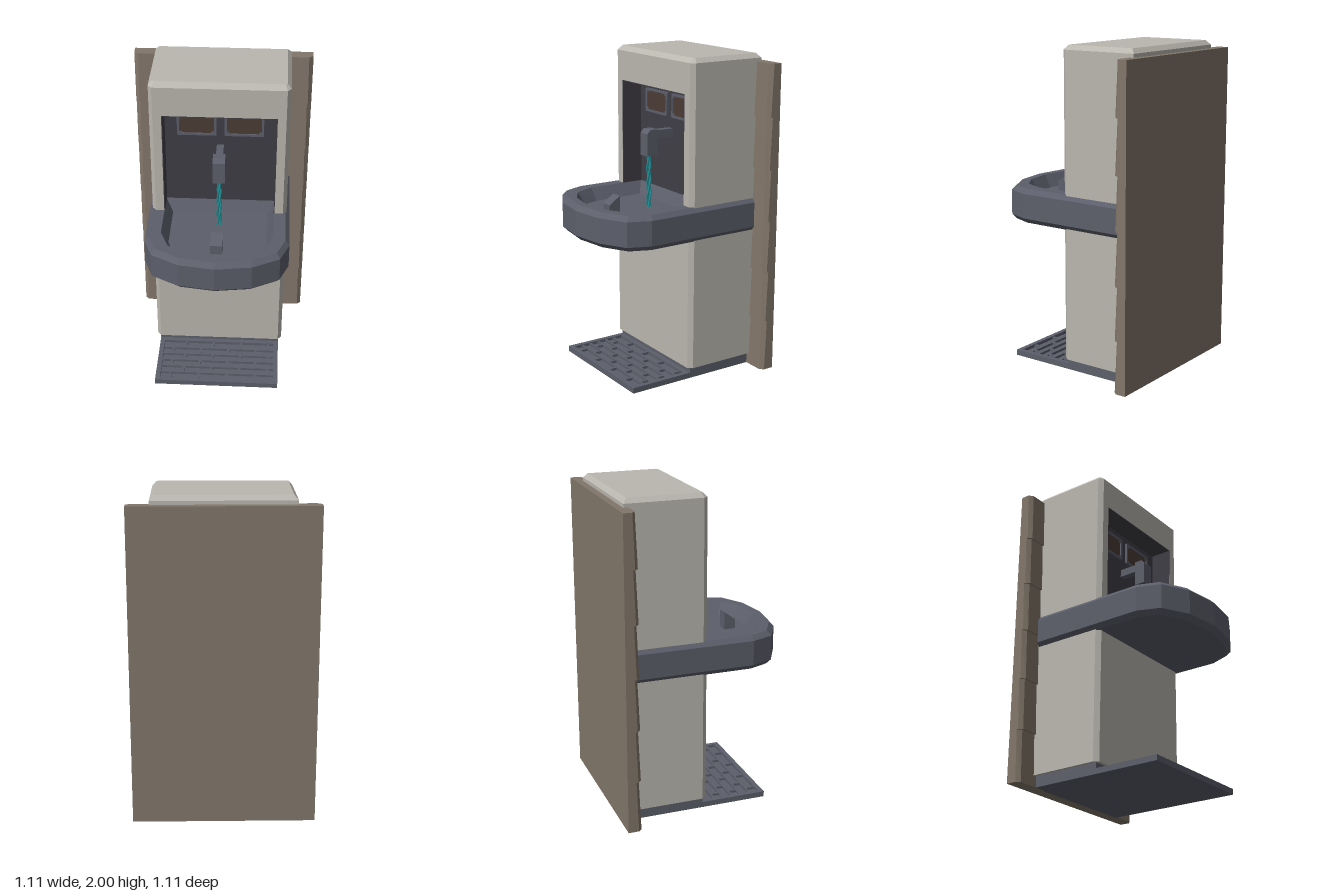
import * as THREE from 'three';

const mat = (name, color) => {
  const m = new THREE.MeshStandardMaterial({ color });
  m.name = name;
  return m;
};

// Flat-shaded skin over matching convex rings of [x, y, z], capped at both ends
function loft(rings) {
  const pos = [];
  const tri = (a, b, c) => pos.push(...a, ...b, ...c);
  const n = rings[0].length;
  for (let r = 0; r < rings.length - 1; r++) {
    const a = rings[r], b = rings[r + 1];
    for (let i = 0; i < n; i++) {
      const j = (i + 1) % n;
      tri(a[i], b[j], a[j]);
      tri(a[i], b[i], b[j]);
    }
  }
  const lo = rings[0], hi = rings[rings.length - 1];
  for (let i = 1; i < n - 1; i++) {
    tri(lo[0], lo[i], lo[i + 1]);
    tri(hi[0], hi[i + 1], hi[i]);
  }
  const g = new THREE.BufferGeometry();
  g.setAttribute('position', new THREE.Float32BufferAttribute(pos, 3));
  g.computeVertexNormals();
  return g;
}

// Mirrors the +x half outline [x, z] (back to front) into a full ring at height y
function ring(y, half) {
  const left = half.filter(p => p[0] > 0).reverse().map(([x, z]) => [-x, z]);
  return [...half, ...left].map(([x, z]) => [x, y, z]);
}

// Box given by its limits
function box(x0, x1, y0, y1, z0, z1) {
  return new THREE.BoxGeometry(x1 - x0, y1 - y0, z1 - z0)
    .translate((x0 + x1) / 2, (y0 + y1) / 2, (z0 + z1) / 2);
}

// Side outline [z, y] extruded across x
function sideExtrude(points, width) {
  const s = new THREE.Shape(points.map(([z, y]) => new THREE.Vector2(-z, y)));
  return new THREE.ExtrudeGeometry(s, { depth: width, bevelEnabled: false })
    .translate(0, 0, -width / 2).rotateY(Math.PI / 2);
}

// Rectangle with cut corners
function cutRect(w, h, c) {
  const a = w / 2, b = h / 2;
  return [[a - c, -b], [a, c - b], [a, b - c], [a - c, b], [c - a, b], [-a, b - c], [-a, c - b], [c - a, -b]]
    .map(p => new THREE.Vector2(...p));
}

export function createModel() {
  const model = new THREE.Group();
  model.name = 'drinkingFountain';
  const stone = mat('pale stone', 0xbab7af);
  const slate = mat('slate metal', 0x5c5f6b);
  const dark = mat('dark recess', 0x403e46);
  const brown = mat('brown backing', 0x82766a);
  const screen = mat('brown screen', 0x4c3c35);
  const teal = mat('teal water', 0x22949c);
  const add = (name, geometry, material, parent = model) => {
    const m = new THREE.Mesh(geometry, material);
    m.name = name;
    parent.add(m);
    return m;
  };

  // Backing panel of six overlapping courses, each leaning back towards its top
  const panel = new THREE.Group();
  panel.name = 'backPanel';
  model.add(panel);
  for (let i = 0; i < 6; i++) {
    const y = i * 0.325;
    const course = (front, w) => [[0.555, -0.555], [0.555, front - 0.022], [w, front]];
    add('panelCourse', loft([ring(y, course(-0.467, 0.533)), ring(y + 0.325, course(-0.479, 0.528))]), brown, panel);
  }

  // Cabinet: solid lower body, walls around the niche, bevelled head
  const plan = [[0.42, -0.51], [0.42, -0.028], [0.397, 0]];
  const crown = [[0.395, -0.485], [0.395, -0.04], [0.385, -0.03]];
  add('cabinetBody', loft([ring(0.07, plan), ring(1.0, plan)]), stone);
  add('cabinetHead', loft([ring(1.785, plan), ring(1.972, plan), ring(2.0, crown)]), stone);
  const nicheBack = -0.145;
  const walls = new THREE.Shape([
    [0.345, 0], [0.397, 0], [0.42, -0.028], [0.42, -0.51], [-0.42, -0.51], [-0.42, -0.028],
    [-0.397, 0], [-0.345, 0], [-0.345, nicheBack], [0.345, nicheBack],
  ].map(([x, z]) => new THREE.Vector2(x, -z)));
  add('cabinetWalls', new THREE.ExtrudeGeometry(walls, { depth: 0.785, bevelEnabled: false })
    .rotateX(-Math.PI / 2).translate(0, 1.0, 0), stone);

  // Dark lining of the niche
  add('nicheBack', box(-0.345, 0.345, 1.09, 1.785, nicheBack, -0.14), dark);
  add('nicheTop', box(-0.345, 0.345, 1.78, 1.786, -0.14, -0.001), dark);
  for (const s of [-1, 1]) {
    add('nicheSide', box(-0.003, 0.003, 1.11, 1.785, -0.14, -0.001).translate(s * 0.343, 0, 0), dark);
  }

  // Basin with bevelled rim and sunken bowl
  const outer = [[0.44, -0.47], [0.44, 0.29], [0.385, 0.43], [0.22, 0.52], [0, 0.552]];
  const inset = [[0.415, -0.47], [0.415, 0.28], [0.365, 0.407], [0.21, 0.491], [0, 0.521]];
  const mouth = [[0.343, -0.14], [0.343, 0.24], [0.29, 0.37], [0.17, 0.447], [0, 0.474]];
  const floor = [[0.3, -0.1], [0.3, 0.23], [0.262, 0.335], [0.15, 0.406], [0, 0.43]];
  add('basin', loft([
    ring(0.895, inset), ring(0.925, outer), ring(1.08, outer),
    ring(1.11, inset), ring(1.11, mouth), ring(1.03, floor),
  ]), slate);
  add('drainBlock', sideExtrude([[0.262, 1.02], [0.335, 1.02], [0.335, 1.09], [0.262, 1.14]], 0.075), slate);

  // Spout on its arm
  add('spout', sideExtrude([[-0.015, 1.36], [0.06, 1.36], [0.06, 1.5], [0.037, 1.525], [-0.015, 1.525]], 0.075), slate);
  add('spoutArm', box(-0.022, 0.022, 1.465, 1.515, -0.14, -0.01), slate);

  // Water stream: three rippling strands twisted together
  for (let k = 0; k < 3; k++) {
    const pts = [];
    for (let i = 0; i <= 12; i++) {
      const a = k * Math.PI * 2 / 3 + i * 0.6;
      const r = i % 3 === 0 ? 0.012 : 0.008;
      pts.push(new THREE.Vector3(Math.cos(a) * r, 1.37 - i * 0.0285, 0.025 + Math.sin(a) * r));
    }
    add('waterStrand', new THREE.TubeGeometry(new THREE.CatmullRomCurve3(pts), 24, 0.007, 5), teal);
  }

  // Two framed screens with corner studs
  for (const s of [-1, 1]) {
    const g = new THREE.Group();
    g.name = s > 0 ? 'leftScreen' : 'rightScreen';
    g.position.set(s * 0.145, 1.66, -0.14);
    model.add(g);
    const frame = new THREE.Shape(cutRect(0.24, 0.15, 0.004));
    frame.holes.push(new THREE.Path(cutRect(0.212, 0.122, 0.014)));
    add('screenFrame', new THREE.ExtrudeGeometry(frame, { depth: 0.014, bevelEnabled: false }), slate, g);
    add('screenPlate', new THREE.ExtrudeGeometry(new THREE.Shape(cutRect(0.214, 0.124, 0.014)),
      { depth: 0.006, bevelEnabled: false }), screen, g);
    for (const x of [-0.096, 0.096]) for (const y of [-0.052, 0.052]) {
      add('screenStud', new THREE.CylinderGeometry(0.005, 0.005, 0.012, 6).rotateX(Math.PI / 2)
        .translate(x, y, 0.006), slate, g);
    }
  }

  // Plinth and floor grate with staggered bars
  add('plinth', box(-0.4, 0.4, 0, 0.07, -0.48, -0.02), slate);
  const grate = new THREE.Group();
  grate.name = 'floorGrate';
  model.add(grate);
  add('grateTray', box(-0.4, 0.4, 0, 0.015, -0.02, 0.4), slate, grate);
  for (const s of [-1, 1]) {
    add('grateEdge', box(-0.015, 0.015, 0.015, 0.035, -0.02, 0.4).translate(s * 0.385, 0, 0), slate, grate);
    add('grateEnd', box(-0.37, 0.37, 0.015, 0.035, -0.015, 0.015).translate(0, 0, 0.19 + s * 0.195), slate, grate);
  }
  const rows = 6, pitch = 0.36 / rows;
  for (let r = 0; r < rows; r++) {
    const z = 0.01 + r * pitch;
    if (r > 0) add('grateBar', box(-0.37, 0.37, 0.015, 0.031, z - 0.007, z + 0.007), slate, grate);
    for (let c = 0; c < 4; c++) {
      const x = -0.37 + (c + (r % 2 ? 0.35 : 0.8)) * 0.185;
      add('grateCrossBar', box(x - 0.008, x + 0.008, 0.015, 0.031, z, z + pitch), slate, grate);
    }
  }
  return model;
}
